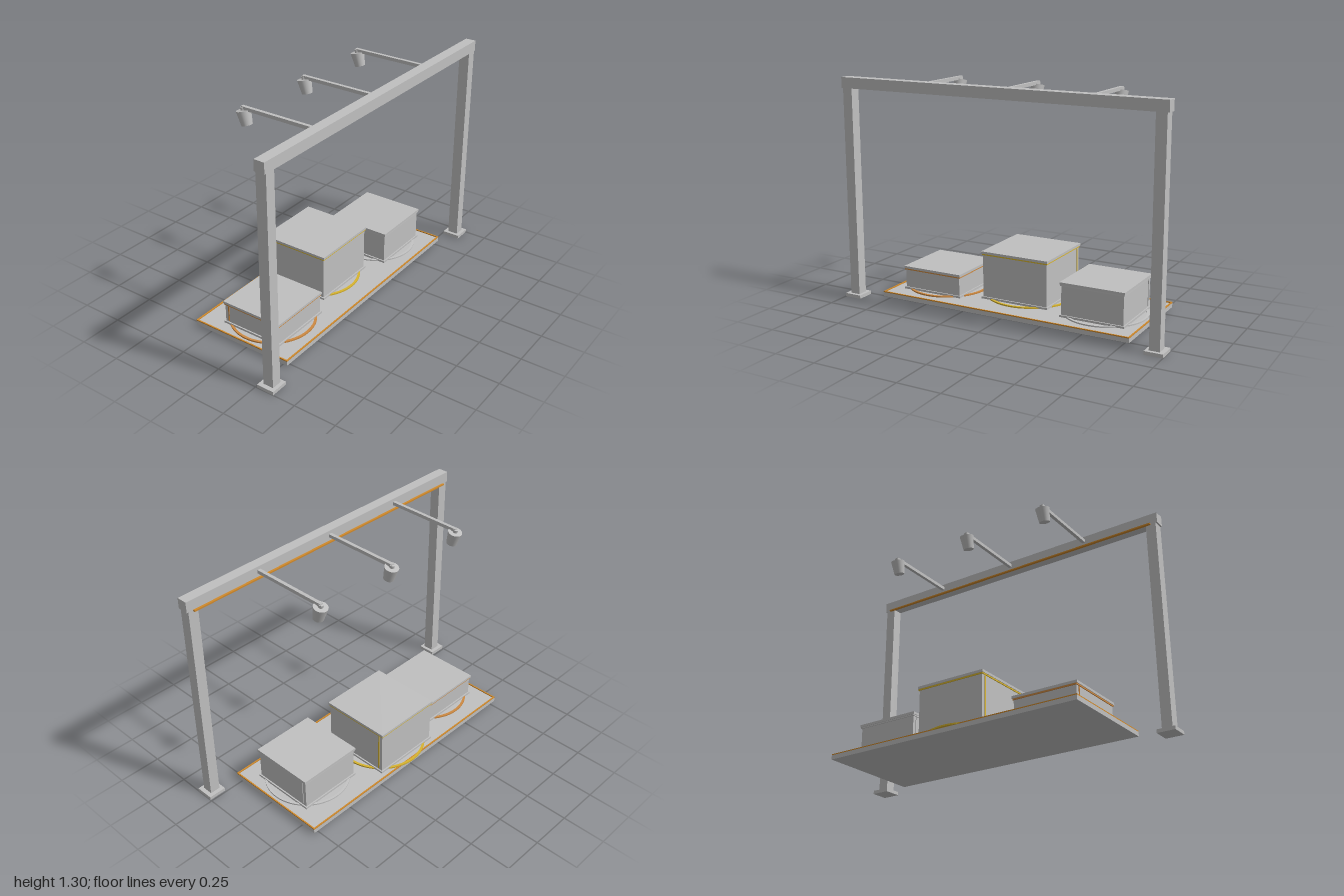
import * as THREE from 'three';

export function createModel() {
  const root = new THREE.Group();
  root.name = 'podiumStage';
  const mat = (name, color, side = THREE.FrontSide) => {
    const m = new THREE.MeshStandardMaterial({ color, side });
    m.name = name;
    return m;
  };
  const grey = mat('light grey', 0xc0c0c0);
  const orange = mat('amber trim', 0xd08a2c);
  const gold = mat('gold', 0xd8b530);
  const bronze = mat('bronze', 0xcd8a42);
  const silver = mat('silver', 0xc4c4c4);

  const add = (parent, name, geo, material, x, y, z) => {
    const m = new THREE.Mesh(geo, material);
    m.name = name;
    m.position.set(x, y, z);
    parent.add(m);
    return m;
  };
  // box given by its extents on each axis
  const box = (parent, name, material, [x0, x1], [y0, y1], [z0, z1]) =>
    add(parent, name, new THREE.BoxGeometry(x1 - x0, y1 - y0, z1 - z0), material,
      (x0 + x1) / 2, (y0 + y1) / 2, (z0 + z1) / 2);

  // platform with a lit strip round its upper edge
  const back = -0.35, front = 0.285, half = 0.782, t = 0.008;
  box(root, 'platform', grey, [-half, half], [0.012, 0.037], [back, front]);
  for (const [z0, z1] of [[back, back + t], [front - t, front]])
    box(root, 'platformTrim', orange, [-half, half], [0.037, 0.043], [z0, z1]);
  for (const s of [-1, 1]) {
    const xs = [s * half, s * (half - t)].sort((a, b) => a - b);
    box(root, 'platformTrim', orange, xs, [0.037, 0.043], [back + t, front - t]);
  }

  // three display blocks, each with a flat ring on the floor
  const block = (name, x, z, w, top, ringR, accent) => {
    const g = new THREE.Group();
    g.name = name;
    g.position.set(x, 0, z);
    root.add(g);
    const h = w / 2, lip = h + 0.008;
    box(g, 'body', grey, [-h, h], [0.037, top - 0.014], [-h, h]);
    box(g, 'foot', grey, [-lip, lip], [0.04, 0.052], [-lip, lip]);
    box(g, 'accentBand', accent, [-h - 0.005, h + 0.005], [top - 0.022, top - 0.014], [-h - 0.005, h + 0.005]);
    box(g, 'cap', grey, [-lip, lip], [top - 0.014, top], [-lip, lip]);
    for (const s of [-1, 1])
      add(g, 'sideStrip', new THREE.BoxGeometry(0.005, top - 0.085, 0.006), accent,
        s * (h + 0.001), (top + 0.035) / 2, -h + 0.024);
    const shape = new THREE.Shape().absarc(0, 0, ringR, 0, Math.PI * 2);
    shape.holes.push(new THREE.Path().absarc(0, 0, ringR - 0.014, 0, Math.PI * 2, true));
    const ring = new THREE.ExtrudeGeometry(shape, { depth: 0.008, bevelEnabled: false, curveSegments: 32 });
    ring.rotateX(-Math.PI / 2);
    add(g, 'floorRing', ring, accent, 0, 0.038, 0);
  };
  block('centreBlock', 0, -0.102, 0.41, 0.323, 0.263, gold);
  block('rightBlock', -0.514, -0.018, 0.37, 0.18, 0.243, bronze);
  block('leftBlock', 0.514, -0.018, 0.37, 0.24, 0.243, silver);

  // gantry posts, feet and beam
  const gz = [0.283, 0.345];
  for (const s of [-1, 1]) {
    const span = (a, b) => [s * a, s * b].sort((p, q) => p - q);
    box(root, 'post', grey, span(0.915, 0.975), [0.02, 1.24], gz);
    box(root, 'postFoot', grey, span(0.895, 1), [0, 0.02], [0.26, 0.365]);
  }
  box(root, 'beam', grey, [-0.985, 0.985], [1.24, 1.302], gz);
  box(root, 'beamLightStrip', orange, [-0.945, 0.945], [1.234, 1.242], [0.27, 0.285]);

  // spotlights on arms reaching back from the beam
  for (const x of [-0.514, 0, 0.514]) {
    const g = new THREE.Group();
    g.name = 'spotlight';
    g.position.x = x;
    root.add(g);
    box(g, 'arm', grey, [-0.01, 0.01], [1.263, 1.283], [-0.18, 0.284]);
    const head = new THREE.Group();
    head.name = 'lampHead';
    head.position.set(0, 1.222, -0.162);
    head.rotation.x = -0.26;
    g.add(head);
    add(head, 'shade', new THREE.CylinderGeometry(0.04, 0.03, 0.08, 24), grey, 0, 0, 0);
    add(head, 'pivot', new THREE.CylinderGeometry(0.014, 0.014, 0.025, 16), grey, 0, 0.045, 0);
  }
  return root;
}
